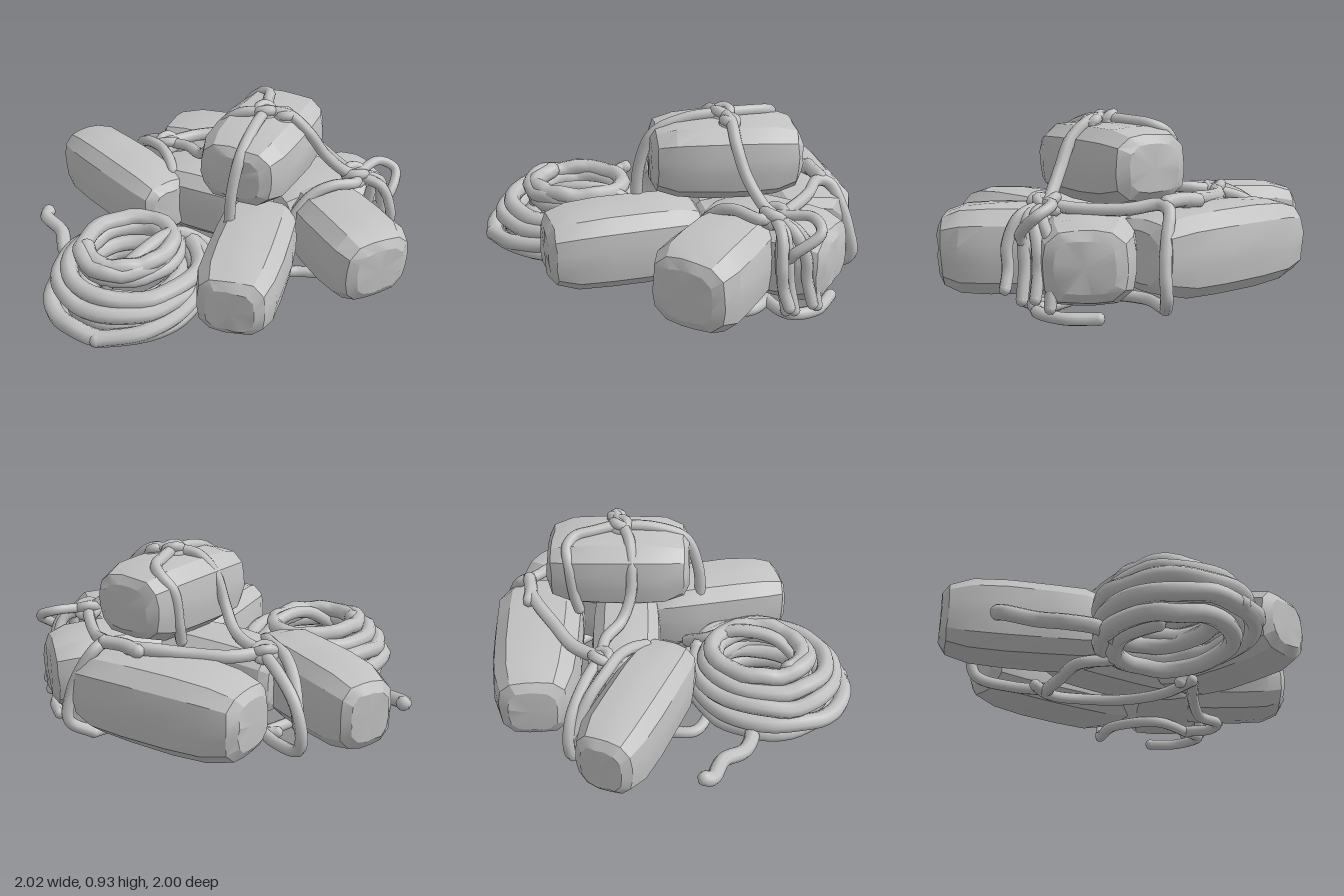
import * as THREE from 'three';
import { toCreasedNormals } from 'three/addons/utils/BufferGeometryUtils.js';

const grey = new THREE.MeshStandardMaterial({ color: 0xc2c2c2 });
grey.name = 'stone grey';

// Small seeded generator, returns -1..1
let seed = 7;
function wobble() {
  seed = (seed * 16807) % 2147483647;
  return (seed / 2147483647) * 2 - 1;
}

// Chiselled block lofted along its local x axis; taper widens the +x end
function block(name, centre, [length, height, width], yaw, taper = 0) {
  const sides = 16;
  const sections = [[-1, 0.58], [-0.92, 0.8], [-0.66, 0.96], [-0.25, 1], [0.25, 1], [0.66, 0.96], [0.92, 0.8], [1, 0.58]];
  const pos = [];
  const index = [];
  sections.forEach(([t, s]) => {
    for (let j = 0; j < sides; j++) {
      const a = ((j + 0.5) / sides) * Math.PI * 2;
      const c = Math.cos(a), d = Math.sin(a);
      const r = s * (1 + wobble() * 0.015) / Math.pow(Math.abs(c) ** 3.6 + Math.abs(d) ** 3.6, 1 / 3.6);
      pos.push((t * length) / 2 + wobble() * 0.006, (c * r * height) / 2, (d * r * width * (1 + taper * t)) / 2);
    }
  });
  const last = sections.length - 1;
  for (let i = 0; i < last; i++) {
    for (let j = 0; j < sides; j++) {
      const a = i * sides + j, b = i * sides + ((j + 1) % sides);
      index.push(a, b, a + sides, b, b + sides, a + sides);
    }
  }
  const c0 = pos.length / 3;
  pos.push(-length / 2 - 0.003, 0, 0, length / 2 + 0.003, 0, 0);
  for (let j = 0; j < sides; j++) {
    const k = (j + 1) % sides;
    index.push(c0, k, j, c0 + 1, last * sides + j, last * sides + k);
  }
  const g = new THREE.BufferGeometry();
  g.setAttribute('position', new THREE.Float32BufferAttribute(pos, 3));
  g.setIndex(index);
  const mesh = new THREE.Mesh(toCreasedNormals(g, 0.4), grey);
  mesh.name = name;
  mesh.position.set(...centre);
  mesh.rotation.y = yaw;
  return mesh;
}

// Rope through points, with rounded ends
function rope(name, points, radius = 0.03, steps = points.length * 8) {
  const group = new THREE.Group();
  group.name = name;
  const pts = points.map((p) => new THREE.Vector3(...p));
  const curve = new THREE.CatmullRomCurve3(pts, false, 'centripetal');
  group.add(new THREE.Mesh(new THREE.TubeGeometry(curve, steps, radius, 8), grey));
  for (const p of [pts[0], pts[pts.length - 1]]) {
    const end = new THREE.Mesh(new THREE.SphereGeometry(radius, 8, 6), grey);
    end.position.copy(p);
    group.add(end);
  }
  return group;
}

// Knot made of two crossing loops
function knot(name, centre, size) {
  const group = new THREE.Group();
  group.name = name;
  for (const [rx, ry] of [[1.2, 0.4], [1.9, -0.6]]) {
    const loop = new THREE.Mesh(new THREE.TorusGeometry(size, 0.027, 8, 14), grey);
    loop.rotation.set(rx, ry, 0);
    group.add(loop);
  }
  group.position.set(...centre);
  return group;
}

export function createModel() {
  seed = 7;
  const model = new THREE.Group();
  model.name = 'ropedBlocks';

  // Lower ring of blocks and the one on top
  model.add(
    block('frontRightBlock', [-0.575, 0.3, 0.02], [0.84, 0.4, 0.36], -0.13),
    block('backRightBlock', [-0.26, 0.29, -0.63], [0.94, 0.41, 0.46], 0.32, 0.1),
    block('backBlock', [0.36, 0.28, -0.58], [0.66, 0.4, 0.46], 1.25),
    block('middleBlock', [-0.08, 0.3, -0.2], [0.72, 0.38, 0.36], 0.3),
    block('leftBlock', [0.67, 0.29, -0.36], [0.63, 0.42, 0.43], -0.34, 0.06),
    block('frontLeftBlock', [0.45, 0.29, 0.14], [0.78, 0.39, 0.41], -1.09),
    block('topBlock', [0.16, 0.67, -0.31], [0.74, 0.38, 0.48], -1.3)
  );

  // Coil: each turn is [y, centre x, centre z, radius x, radius z]
  const turns = [
    [0.07, -0.01, 0.51, 0.23, 0.27], [0.08, -0.01, 0.53, 0.31, 0.35], [0.15, 0.02, 0.55, 0.37, 0.41],
    [0.15, 0, 0.53, 0.26, 0.31], [0.22, -0.03, 0.51, 0.2, 0.23], [0.23, 0, 0.53, 0.28, 0.31],
    [0.24, 0.02, 0.53, 0.36, 0.37], [0.31, 0, 0.51, 0.29, 0.33], [0.31, -0.05, 0.51, 0.18, 0.21],
    [0.37, -0.02, 0.5, 0.22, 0.26], [0.38, -0.03, 0.5, 0.19, 0.22]
  ];
  const perTurn = 18;
  const coil = [];
  for (let i = 0; i <= (turns.length - 1) * perTurn; i++) {
    const n = Math.min(Math.floor(i / perTurn), turns.length - 2);
    const f = i / perTurn - n;
    const [y, cx, cz, rx, rz] = turns[n].map((v, k) => v + (turns[n + 1][k] - v) * f);
    const a = f * Math.PI * 2 + 2.2;
    coil.push([cx + Math.cos(a) * rx + wobble() * 0.006, y + wobble() * 0.01, cz + Math.sin(a) * rz]);
  }
  model.add(rope('ropeCoil', coil, 0.044, 380));
  model.add(rope('coilTail', [[-0.79, 0.17, 0.41], [-0.77, 0.16, 0.44], [-0.62, 0.14, 0.46], [-0.5, 0.11, 0.54], [-0.36, 0.1, 0.55], [-0.26, 0.08, 0.5]], 0.038));
  model.add(rope('coilCrossing', [[0.05, 0.28, 0.72], [0.09, 0.38, 0.55], [0.08, 0.39, 0.35], [0.06, 0.32, 0.2], [0.14, 0.22, 0.08]], 0.035));
  model.add(rope('coilOuterStrand', [[0.02, 0.28, 0.16], [0.2, 0.27, 0.2], [0.33, 0.24, 0.34], [0.38, 0.19, 0.55], [0.33, 0.16, 0.76], [0.18, 0.13, 0.92]], 0.04));

  // Knots where the lashings meet
  model.add(
    knot('topKnot', [0.17, 0.875, -0.3], 0.04),
    knot('topSideKnot', [0.26, 0.86, -0.35], 0.03),
    knot('rightKnot', [-0.45, 0.49, -0.21], 0.045),
    knot('leftKnot', [0.55, 0.52, -0.6], 0.05)
  );

  // Lashings from the top knot
  model.add(
    rope('frontLashing', [[0.17, 0.88, -0.3], [0.23, 0.86, -0.13], [0.28, 0.79, 0.02], [0.29, 0.62, 0.09], [0.29, 0.4, 0.11], [0.27, 0.2, 0.13], [0.2, 0.06, 0.12]]),
    rope('rightLashing', [[0.17, 0.88, -0.29], [0.07, 0.86, -0.22], [-0.02, 0.77, -0.18], [-0.09, 0.62, -0.17], [-0.18, 0.53, -0.19], [-0.32, 0.51, -0.23], [-0.45, 0.49, -0.21]]),
    rope('backLashing', [[0.17, 0.88, -0.31], [0.09, 0.87, -0.42], [0.03, 0.86, -0.5], [-0.04, 0.83, -0.52], [-0.1, 0.76, -0.49], [-0.11, 0.6, -0.47], [-0.1, 0.5, -0.45]]),
    rope('leftLashing', [[0.17, 0.88, -0.3], [0.28, 0.87, -0.36], [0.38, 0.79, -0.4], [0.45, 0.66, -0.46], [0.52, 0.55, -0.55], [0.55, 0.52, -0.6]])
  );

  // Lashings over the back and right blocks
  model.add(
    rope('backTie', [[0.55, 0.52, -0.6], [0.42, 0.5, -0.66], [0.22, 0.5, -0.74], [0.08, 0.52, -0.78], [0.06, 0.5, -0.84], [0.09, 0.41, -0.9], [0.12, 0.28, -0.95], [0.12, 0.14, -0.97], [0.08, 0.06, -0.86]]),
    rope('rightTie', [[-0.45, 0.49, -0.21], [-0.39, 0.49, -0.38], [-0.27, 0.5, -0.52], [-0.15, 0.52, -0.66], [-0.07, 0.52, -0.73]], 0.035),
    rope('backBridge', [[-0.13, 0.52, -0.72], [-0.05, 0.53, -0.74], [0.05, 0.53, -0.79]], 0.035),
    rope('rightDrop', [[-0.45, 0.49, -0.22], [-0.6, 0.44, -0.25], [-0.74, 0.34, -0.27], [-0.79, 0.2, -0.27], [-0.76, 0.11, -0.26], [-0.58, 0.07, -0.24], [-0.4, 0.06, -0.2]]),
    rope('rightLoop', [[-0.77, 0.24, -0.27], [-0.65, 0.42, -0.2], [-0.52, 0.49, -0.15], [-0.42, 0.5, -0.13], [-0.33, 0.49, -0.09], [-0.25, 0.46, -0.04]]),
    rope('leftTie', [[0.55, 0.52, -0.6], [0.6, 0.52, -0.54], [0.54, 0.53, -0.42], [0.48, 0.49, -0.33], [0.43, 0.35, -0.22], [0.4, 0.1, -0.2]])
  );

  // Loose ends hanging from the left knot
  const tails = [[0.6, -0.82, 0.1], [0.66, -0.8, 0.14], [0.7, -0.72, 0.12], [0.77, -0.7, 0.17], [0.64, -0.68, 0.08]];
  for (const [x, z, y] of tails) {
    const mx = (0.55 + x) / 2, mz = (-0.6 + z) / 2;
    model.add(rope('hangingEnd', [[0.55, 0.52, -0.6], [mx + 0.03, 0.48, mz], [x - 0.02, 0.36, z + 0.04], [x - 0.02, 0.25, z + 0.03], [x, y, z]], 0.028));
  }
  model.add(rope('hangingLoop', [[0.56, 0.53, -0.62], [0.58, 0.54, -0.78], [0.66, 0.5, -0.82], [0.7, 0.4, -0.7], [0.62, 0.3, -0.66]], 0.026));

  // Rope running along the ground under the blocks
  model.add(
    rope('groundRopeRight', [[-0.48, 0.06, -0.15], [-0.38, 0.05, -0.24], [-0.2, 0.07, -0.3], [0.02, 0.07, -0.24], [0.18, 0.06, -0.05], [0.26, 0.07, 0.14]]),
    rope('groundRopeBack', [[0.08, 0.06, -0.86], [0.1, 0.06, -0.65], [0.3, 0.06, -0.5], [0.5, 0.05, -0.58], [0.63, 0.06, -0.7], [0.55, 0.05, -0.82], [0.4, 0.05, -0.88]]),
    rope('groundRopeLeft', [[0.28, 0.07, 0.1], [0.36, 0.06, -0.1], [0.46, 0.03, -0.25], [0.6, 0.04, -0.35], [0.62, 0.05, -0.5], [0.5, 0.05, -0.58]]),
    rope('groundRopeCoil', [[-0.42, 0.05, -0.2], [-0.4, 0.04, 0], [-0.36, 0.04, 0.25], [-0.2, 0.06, 0.3]])
  );
  return model;
}
